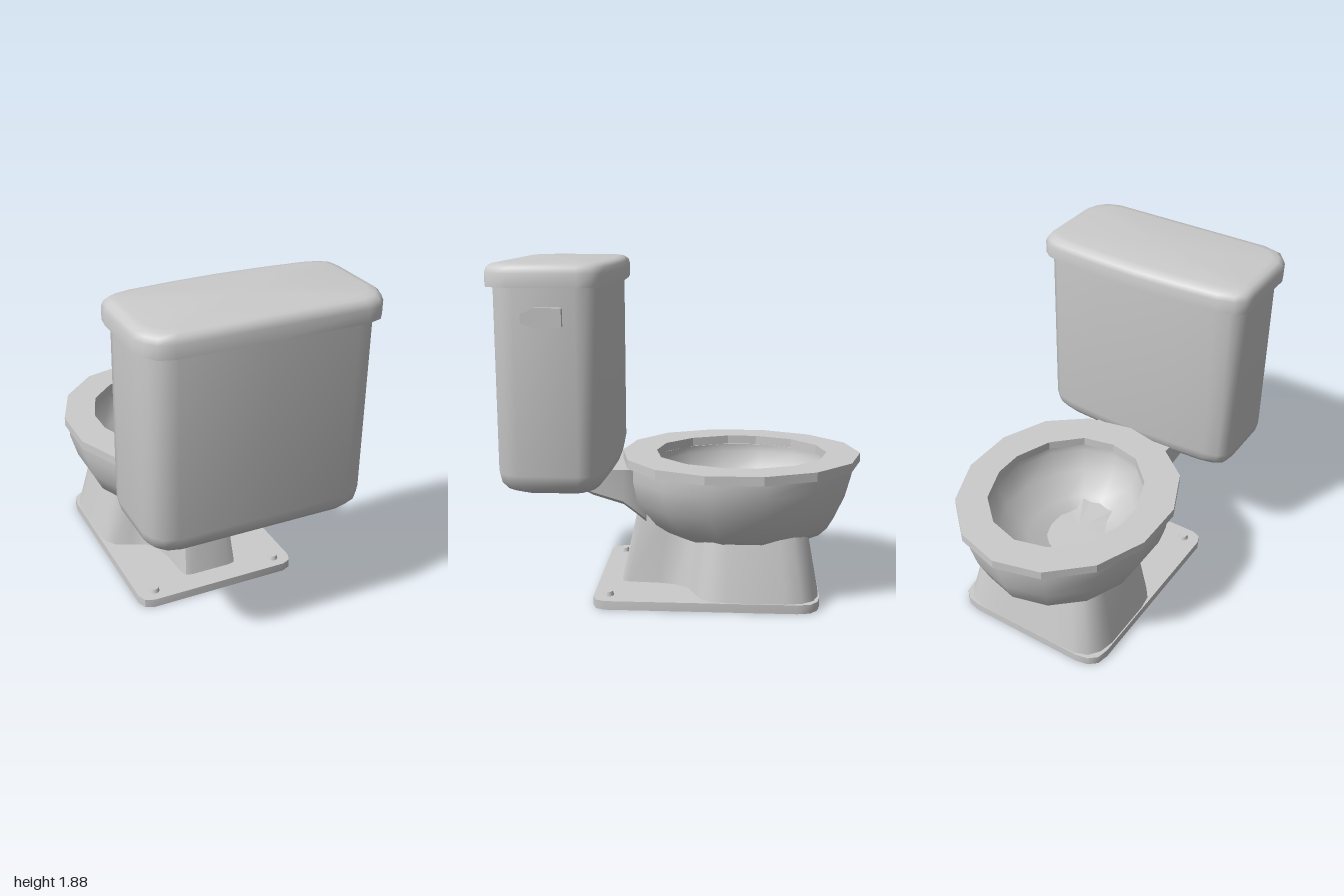
import * as THREE from 'three';
import { toCreasedNormals, mergeVertices } from 'three/addons/utils/BufferGeometryUtils.js';

const material = new THREE.MeshStandardMaterial({ color: 0xcccccc });

// Complete a half outline (first and last point on the centre line) by mirroring x
const mirrored = (half) => [...half, ...half.slice(1, -1).reverse().map(([x, v]) => [-x, v])];

// Skin a list of equal rings of [x, y, z] points and cap both ends
function loft(rings, crease = 0.8) {
  const n = rings[0].length, positions = [], index = [];
  rings.forEach((ring) => ring.forEach((p) => positions.push(...p)));
  for (let i = 0; i < rings.length - 1; i++) {
    for (let j = 0; j < n; j++) {
      const a = i * n + j, b = i * n + (j + 1) % n;
      index.push(a, b, b + n, a, b + n, a + n);
    }
  }
  [0, rings.length - 1].forEach((r, end) => {
    const centre = positions.length / 3;
    for (let k = 0; k < 3; k++) positions.push(rings[r].reduce((s, p) => s + p[k], 0) / n);
    for (let j = 0; j < n; j++) {
      const a = r * n + j, b = r * n + (j + 1) % n;
      if (end) index.push(centre, a, b);
      else index.push(centre, b, a);
    }
  });
  const geometry = new THREE.BufferGeometry();
  geometry.setAttribute('position', new THREE.Float32BufferAttribute(positions, 3));
  geometry.setIndex(index);
  return toCreasedNormals(mergeVertices(geometry), crease);
}

// Elliptical ring at height y between two z limits
function ellipse([y, zBack, zFront, rx], sides = 14) {
  return Array.from({ length: sides }, (_, i) => {
    const a = (i / sides) * Math.PI * 2;
    return [Math.sin(a) * rx, y, (zBack + zFront) / 2 + Math.cos(a) * (zFront - zBack) / 2];
  });
}

// Cistern plan: one flat long side, one bowed, rounded corners
const CISTERN = mirrored([
  [0, 1], [0.5, 1], [0.58, 0.975], [0.625, 0.92], [0.65, 0.85], [0.65, 0.5],
  [0.638, 0.425], [0.59, 0.385], [0.5, 0.362], [0.25, 0.343], [0, 0.335],
]);
const cisternRing = ([inset, y]) => CISTERN.map(([x, z]) =>
  [x * (1 - inset / 0.65), y, 0.667 + (z - 0.667) * (1 - inset / 0.333)]);

// Plan of the base plate and the pedestal
const PLATE = mirrored([
  [0, 0.48], [0.41, 0.48], [0.46, 0.46], [0.48, 0.41], [0.48, -0.64],
  [0.465, -0.71], [0.42, -0.75], [0.35, -0.765], [0, -0.765],
]);
const PEDESTAL = mirrored([
  [0, 0.355], [0.12, 0.355], [0.155, 0.345], [0.17, 0.31], [0.18, 0.14], [0.2, 0.04],
  [0.25, -0.03], [0.34, -0.075], [0.42, -0.11], [0.463, -0.17], [0.475, -0.26],
  [0.475, -0.58], [0.455, -0.67], [0.41, -0.73], [0.33, -0.76], [0.2, -0.765], [0, -0.765],
]);

const SEAT_OUTER = mirrored([
  [0, 0.355], [0.26, 0.3], [0.47, 0.13], [0.585, -0.14],
  [0.585, -0.45], [0.47, -0.73], [0.26, -0.93], [0, -1],
]);
const SEAT_INNER = mirrored([
  [0, 0.16], [0.18, 0.12], [0.33, -0.03], [0.41, -0.24],
  [0.41, -0.41], [0.33, -0.62], [0.18, -0.76], [0, -0.81],
]);

export function createModel() {
  const model = new THREE.Group();
  const add = (name, geometry) => {
    const mesh = new THREE.Mesh(geometry, material);
    mesh.name = name;
    model.add(mesh);
    return mesh;
  };

  // Floor plate with two bolt caps
  add('basePlate', loft([0, 0.05].map((y) => PLATE.map(([x, z]) => [x, y, z]))));
  for (const side of [-1, 1]) {
    add('boltCap', new THREE.CylinderGeometry(0.024, 0.032, 0.025, 12))
      .position.set(side * 0.38, 0.06, 0.4);
  }

  // Tapered pedestal, narrow behind and wide under the bowl
  add('pedestal', loft([0, 1].map((t) => PEDESTAL.map(([x, z]) => [
    x * (1 - 0.17 * t),
    t ? (z > 0.1 ? 0.45 : 0.4) : 0.04,
    z + t * (-0.14 * z - 0.04),
  ]))));

  // Bowl: outer wall up to the rim, then the basin down to the drain
  add('bowl', loft([
    [0.295, -0.4, 0.02, 0.17],
    [0.31, -0.68, 0.06, 0.29],
    [0.35, -0.81, 0.13, 0.4],
    [0.4, -0.86, 0.2, 0.46],
    [0.53, -0.92, 0.31, 0.53],
    [0.66, -0.955, 0.335, 0.57],
    [0.735, -0.965, 0.335, 0.575],
    [0.735, -0.83, 0.18, 0.43],
    [0.69, -0.83, 0.18, 0.43],
    [0.57, -0.76, 0.13, 0.37],
    [0.45, -0.58, 0.04, 0.24],
    [0.38, -0.34, -0.04, 0.1],
    [0.34, -0.25, -0.07, 0.05],
    [0.315, -0.22, -0.08, 0.04],
  ].map((r) => ellipse(r))));

  // Shelf joining the bowl to the cistern: z, underside, top, half width
  add('cisternShelf', loft([
    [0.21, 0.41, 0.72, 0.2],
    [0.26, 0.46, 0.725, 0.23],
    [0.33, 0.52, 0.73, 0.25],
    [0.5, 0.575, 0.73, 0.265],
    [0.68, 0.665, 0.73, 0.28],
  ].map(([z, low, top, w]) => mirrored([
    [0, low], [w * 0.8, low], [w, low + 0.03], [w, top], [0, top],
  ]).map(([x, y]) => [x, y, z]))));

  // Faceted seat ring
  const vectors = (points) => points.map(([x, z]) => new THREE.Vector2(x, -z));
  const seatShape = new THREE.Shape(vectors(SEAT_OUTER));
  seatShape.holes.push(new THREE.Path(vectors(SEAT_INNER)));
  const seat = new THREE.ExtrudeGeometry(seatShape, { depth: 0.05, bevelEnabled: false });
  add('seat', seat.rotateX(-Math.PI / 2).translate(0, 0.74, 0));

  // Cistern with rounded underside, and its lid
  add('cistern', loft([
    [0.17, 0.665], [0.12, 0.67], [0.075, 0.69], [0.045, 0.73], [0.035, 0.78], [0.035, 1.78],
  ].map(cisternRing), 0.9));
  add('cisternLid', loft([
    [0, 1.76], [0, 1.83], [0.01, 1.858], [0.03, 1.874], [0.065, 1.88],
  ].map(cisternRing), 0.9));

  // Flush lever on the side of the cistern
  const leverShape = new THREE.Shape([
    [-0.58, 1.565], [-0.59, 1.56], [-0.72, 1.56], [-0.785, 1.58], [-0.79, 1.6],
    [-0.785, 1.635], [-0.72, 1.66], [-0.59, 1.66], [-0.58, 1.655],
  ].map(([u, y]) => new THREE.Vector2(u, y)));
  const lever = new THREE.ExtrudeGeometry(leverShape, { depth: 0.045, bevelEnabled: false });
  add('flushLever', lever.rotateY(Math.PI / 2).translate(0.605, 0, 0));

  return model;
}
